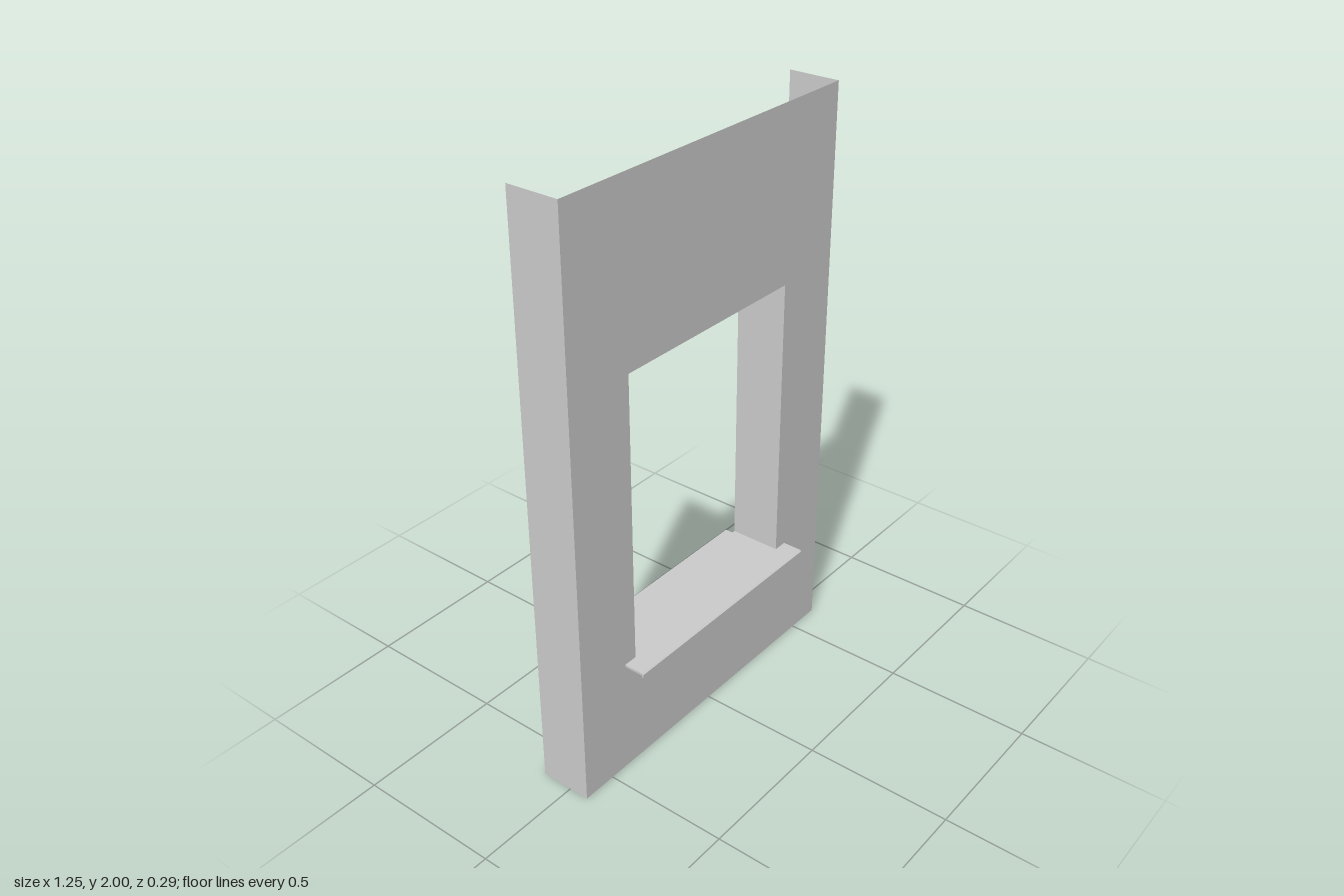
import * as THREE from 'three';

const W = 0.623, H = 2;             // panel half width, height
const HW = 0.375, Y0 = 0.41, Y1 = 1.41; // opening half width, bottom, top
const ZF = 0.07, ZB = -0.11;        // front face, back edge of the returns

export function createModel() {
  const group = new THREE.Group();
  const mat = new THREE.MeshStandardMaterial({ color: 0xcccccc, side: THREE.DoubleSide, flatShading: true });

  const add = (name, geometry, x = 0, y = 0, z = 0) => {
    const mesh = new THREE.Mesh(geometry, mat);
    mesh.name = name;
    mesh.position.set(x, y, z);
    group.add(mesh);
  };

  // Thin sheet folded along a [z, y] profile, spanning x = -half..half
  const foldedSheet = (profile, half) => {
    const pos = [], index = [];
    profile.forEach(([z, y], i) => {
      pos.push(-half, y, z, half, y, z);
      const a = 2 * i;
      if (i < profile.length - 1) index.push(a, a + 1, a + 2, a + 1, a + 3, a + 2);
    });
    const g = new THREE.BufferGeometry();
    g.setAttribute('position', new THREE.Float32BufferAttribute(pos, 3));
    g.setIndex(index);
    g.computeVertexNormals();
    return g;
  };

  // Front panel with window opening
  const wall = new THREE.Shape([[-W, 0], [W, 0], [W, H], [-W, H]].map(p => new THREE.Vector2(...p)));
  wall.holes.push(new THREE.Path([[-HW, Y0], [-HW, Y1], [HW, Y1], [HW, Y0]].map(p => new THREE.Vector2(...p))));
  add('frontPanel', new THREE.ShapeGeometry(wall), 0, 0, ZF);

  // Outer returns and window jambs, mirrored
  const depth = ZF - ZB, midZ = (ZF + ZB) / 2;
  for (const [s, side] of [[1, 'left'], [-1, 'right']]) {
    add(side + 'Return', new THREE.PlaneGeometry(depth, H).rotateY(s * Math.PI / 2), s * W, H / 2, midZ);
    add(side + 'Jamb', new THREE.PlaneGeometry(depth, Y1 - Y0).rotateY(s * Math.PI / 2), s * HW, (Y0 + Y1) / 2, midZ);
  }

  // Head of the opening
  add('head', new THREE.PlaneGeometry(2 * HW, depth).rotateX(-Math.PI / 2), 0, Y1, midZ);

  // Inner sill, stepping down to a strip behind the opening
  add('innerSill', foldedSheet([[ZF, Y0], [ZB, Y0], [ZB, 0.4], [-0.147, 0.4]], HW));

  // Projecting outer sill with a drip lip
  const lip = new THREE.Shape([[ZF, 0.41], [0.138, 0.41], [0.143, 0.406], [0.143, 0.395], [0.137, 0.395], [0.137, 0.402], [ZF, 0.402]]
    .map(p => new THREE.Vector2(...p)));
  const half = 0.424;
  const lipGeo = new THREE.ExtrudeGeometry(lip, { depth: 2 * half, bevelEnabled: false });
  lipGeo.rotateY(-Math.PI / 2).translate(half, 0, 0);
  add('outerSill', lipGeo);

  return group;
}
